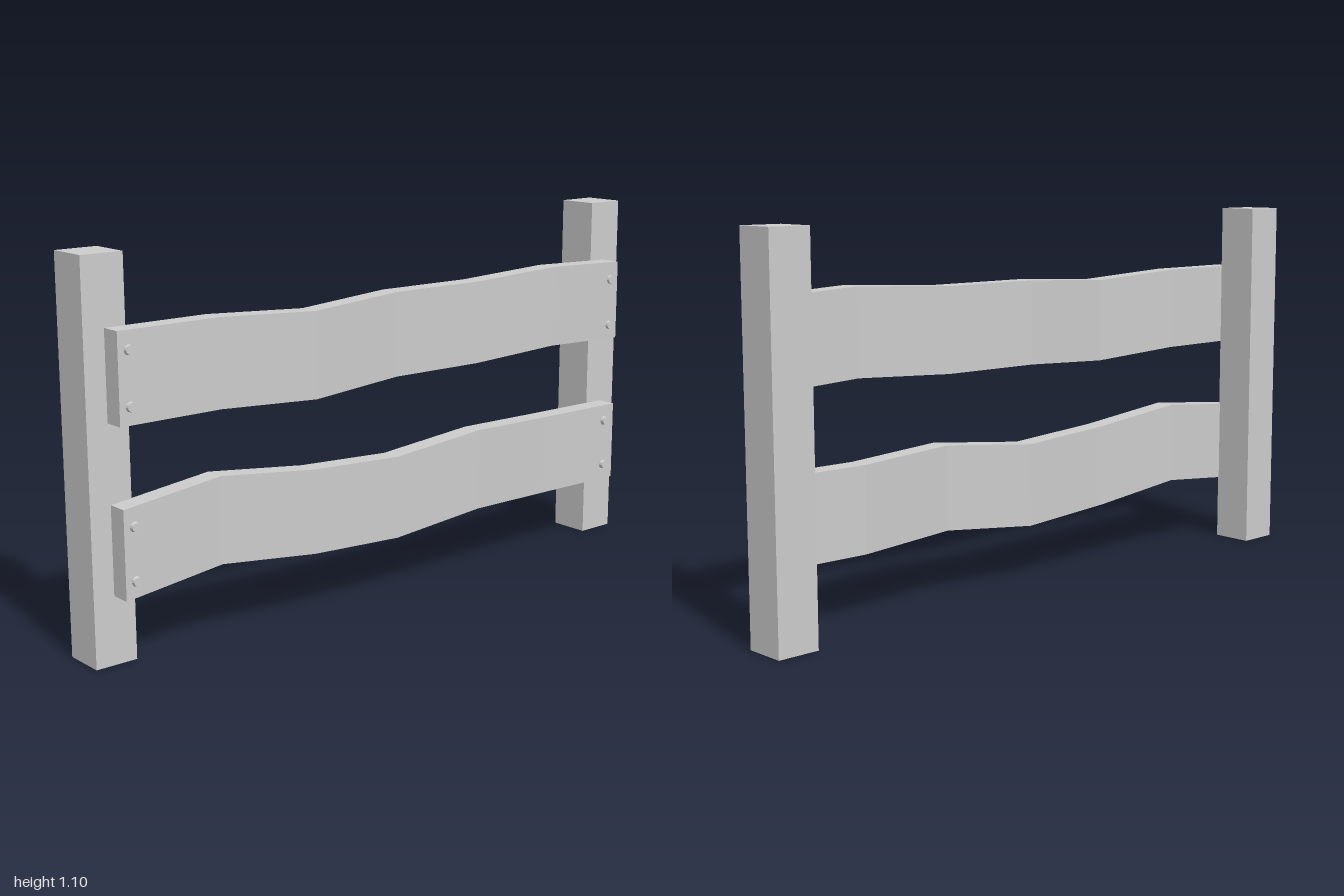
import * as THREE from 'three';

const material = new THREE.MeshStandardMaterial({ color: 0xcccccc, flatShading: true });

function addMesh(parent, name, geometry, x = 0, y = 0, z = 0) {
  const mesh = new THREE.Mesh(geometry, material);
  mesh.name = name;
  mesh.position.set(x, y, z);
  parent.add(mesh);
  return mesh;
}

// Warped plank: each of the seven stations is shifted up and forward
function plankGeometry(rise, forward) {
  const geometry = new THREE.BoxGeometry(1.876, 0.248, 0.061, 6, 1, 1);
  const p = geometry.attributes.position;
  for (let i = 0; i < p.count; i++) {
    const station = Math.round((p.getX(i) / 1.876 + 0.5) * 6);
    p.setY(i, p.getY(i) + rise[station]);
    p.setZ(i, p.getZ(i) + forward[station]);
  }
  geometry.computeVertexNormals();
  return geometry;
}

export function createModel() {
  const model = new THREE.Group();
  model.name = 'fence';

  // Square posts
  for (const side of [-1, 1]) {
    addMesh(model, side > 0 ? 'leftPost' : 'rightPost',
      new THREE.BoxGeometry(0.125, 1.096, 0.125), side * 0.9375, 0.548, -0.0375);
  }

  // Rails, listed from the model's right end to its left end
  const rails = [
    { name: 'upperRail', y: 0.782, boltX: [-0.906, 0.9],
      rise: [0, 0, -0.017, 0, 0, 0.016, 0.003],
      forward: [0, 0, 0.013, -0.01, 0, 0.013, 0] },
    { name: 'lowerRail', y: 0.316, boltX: [-0.906, 0.895],
      rise: [0, 0.032, -0.003, -0.021, 0.012, 0, 0],
      forward: [0, -0.01, 0, -0.004, 0.013, -0.01, 0] },
  ];
  const boltGeometry = new THREE.CylinderGeometry(0.012, 0.015, 0.014, 12).rotateX(Math.PI / 2);

  for (const { name, y, boltX, rise, forward } of rails) {
    const rail = new THREE.Group();
    rail.name = name;
    rail.position.set(0, y, 0.055);
    model.add(rail);
    addMesh(rail, 'plank', plankGeometry(rise, forward));
    // Two bolt heads at each end
    for (const x of boltX) {
      for (const dy of [-0.075, 0.073]) addMesh(rail, 'bolt', boltGeometry, x, dy, 0.033);
    }
  }
  return model;
}
